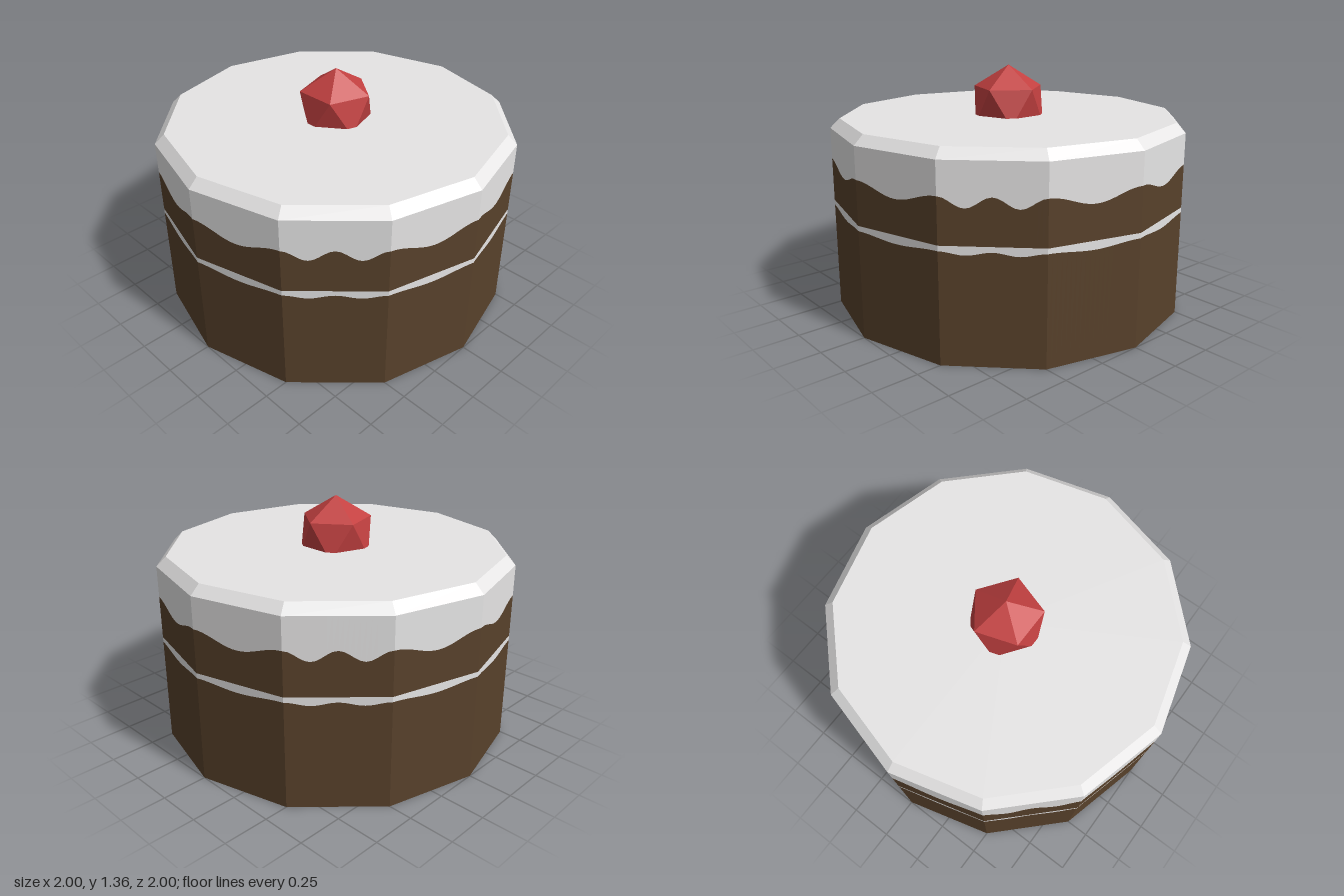
import * as THREE from 'three';

const SIDES = 12, STEPS = 20;

// Separate the faces so that every one is shaded flat
function facet(geometry) {
  const flat = geometry.index ? geometry.toNonIndexed() : geometry;
  flat.computeVertexNormals();
  return flat;
}

// Drip wave: diagonal sides carry two scallops, the others one; +1 at each corner
const wave = (side, t) => Math.cos(2 * Math.PI * t * (side % 3 === 1 ? 2 : 1));
const level = (y) => () => y;
const wavy = (y, amount) => (side, t) => y + amount * wave(side, t);

// Twelve-sided wall of radius 1 between two height functions
function wall(bottom, top) {
  const pos = [];
  const corner = (i) => {
    const a = (i / SIDES) * Math.PI * 2;
    return new THREE.Vector3(Math.sin(a), 0, Math.cos(a));
  };
  for (let s = 0; s < SIDES; s++) {
    const a = corner(s), b = corner(s + 1);
    for (let k = 0; k < STEPS; k++) {
      const t0 = k / STEPS, t1 = (k + 1) / STEPS;
      const p = a.clone().lerp(b, t0), q = a.clone().lerp(b, t1);
      const p0 = [p.x, bottom(s, t0), p.z], p1 = [p.x, top(s, t0), p.z];
      const q0 = [q.x, bottom(s, t1), q.z], q1 = [q.x, top(s, t1), q.z];
      pos.push(...p0, ...q0, ...q1, ...p0, ...q1, ...p1);
    }
  }
  const g = new THREE.BufferGeometry();
  g.setAttribute('position', new THREE.Float32BufferAttribute(pos, 3));
  return facet(g);
}

export function createModel() {
  const cake = new THREE.Group();
  cake.name = 'cake';

  const material = (name, color) => {
    const m = new THREE.MeshStandardMaterial({ color });
    m.name = name;
    return m;
  };
  const chocolate = material('chocolate', 0x58412b);
  const icing = material('icing', 0xe6e5e5);
  const red = material('cherry red', 0xc44141);

  const add = (name, geometry, mat) => {
    const mesh = new THREE.Mesh(geometry, mat);
    mesh.name = name;
    cake.add(mesh);
    return mesh;
  };

  // Sponge, cream and icing share wavy borders
  const creamEdge = wavy(0.583, 0.009);
  const icingEdge = wavy(0.832, 0.028);
  add('lowerSponge', wall(level(0), creamEdge), chocolate);
  add('creamFilling', wall(creamEdge, level(0.62)), icing);
  add('upperSponge', wall(level(0.62), icingEdge), chocolate);
  add('icingSide', wall(icingEdge, level(1.033)), icing);

  // Bevelled rim and flat top of the icing
  const rim = new THREE.CylinderGeometry(0.947, 1, 0.052, SIDES, 1, true);
  add('icingRim', facet(rim.translate(0, 1.059, 0)), icing);
  const top = new THREE.CircleGeometry(0.947, SIDES).rotateX(-Math.PI / 2);
  add('icingTop', facet(top.translate(0, 1.085, 0)), icing);

  // Underside
  const base = new THREE.CircleGeometry(1, SIDES).rotateX(Math.PI / 2);
  add('cakeBase', facet(base), chocolate);

  // Cherry: an icosahedron stood on one corner, with an upper corner towards +x
  const R = 0.2236, ring = 0.2, half = 0.1;
  const point = (y, degrees) => {
    const a = THREE.MathUtils.degToRad(degrees);
    return [ring * Math.cos(a), y, -ring * Math.sin(a)];
  };
  const faces = [];
  for (let i = 0; i < 5; i++) {
    const u0 = point(half, i * 72), u1 = point(half, i * 72 + 72);
    const l0 = point(-half, i * 72 + 36), l1 = point(-half, i * 72 + 108);
    faces.push(0, R, 0, ...u0, ...u1);
    faces.push(...u0, ...l0, ...u1);
    faces.push(...u1, ...l0, ...l1);
    faces.push(0, -R, 0, ...l1, ...l0);
  }
  const cherry = new THREE.BufferGeometry();
  cherry.setAttribute('position', new THREE.Float32BufferAttribute(faces, 3));
  add('cherry', facet(cherry), red).position.y = 1.137;

  return cake;
}
